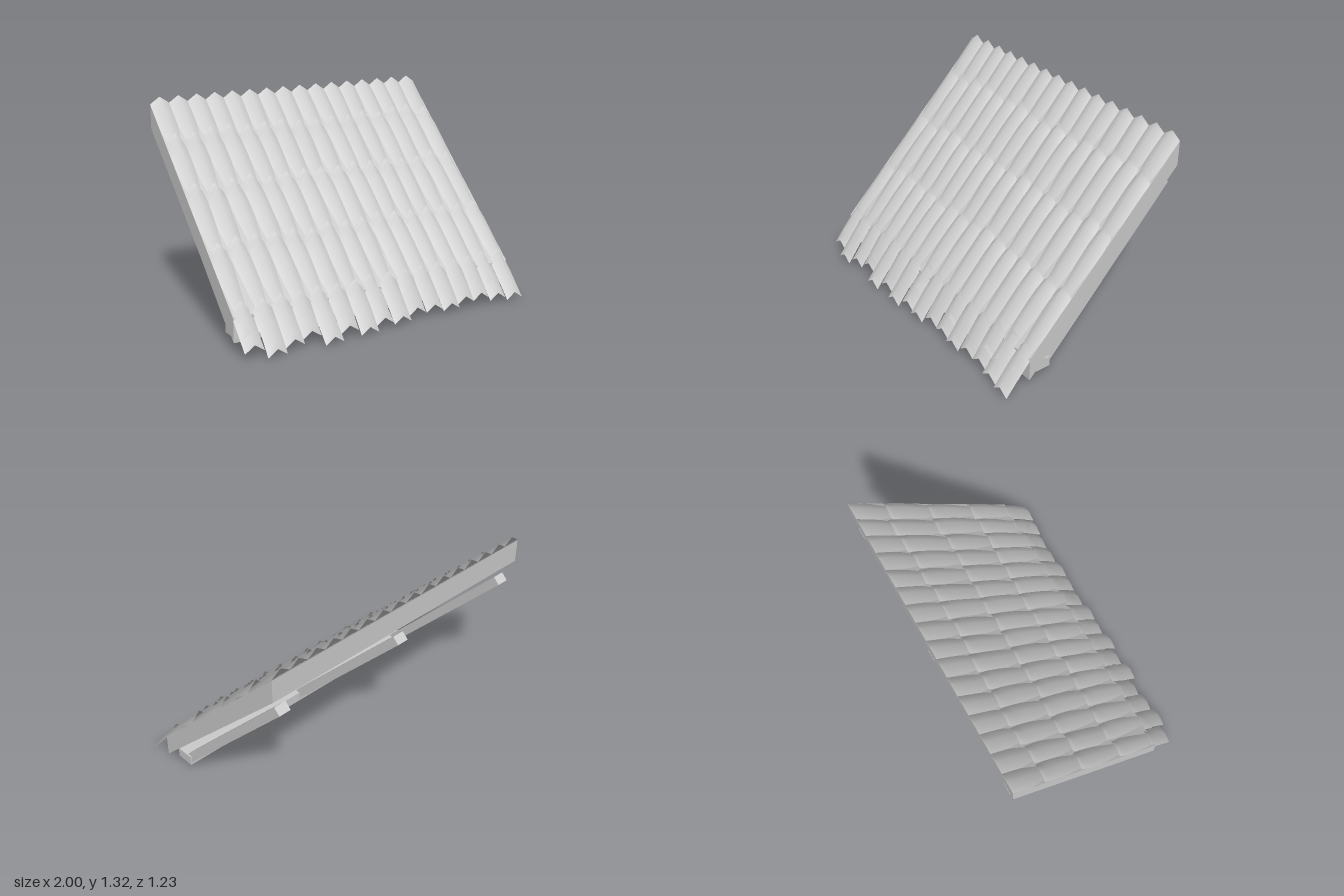
import * as THREE from 'three';
import { mergeGeometries } from 'three/addons/utils/BufferGeometryUtils.js';

const ROOF_Y = 0.66;                       // height of the deck top at z = 0, pitch 45 degrees
const roofY = (z) => ROOF_Y - z;

let seed = 7;
function rand() {
  seed = (seed * 16807) % 2147483647;
  return seed / 2147483647;
}
const jitter = (a) => (rand() * 2 - 1) * a;
const clampX = (x) => Math.max(-1, Math.min(1, x));

// Box sheared to follow the pitch; low and high are offsets from the deck top
function pitchedBlock(x0, x1, z0, z1, low, high) {
  const geo = new THREE.BoxGeometry(x1 - x0, high - low, z1 - z0);
  geo.translate((x0 + x1) / 2, (low + high) / 2, (z0 + z1) / 2);
  const p = geo.attributes.position;
  for (let i = 0; i < p.count; i++) p.setY(i, p.getY(i) + roofY(p.getZ(i)));
  geo.computeVertexNormals();
  return geo;
}

// Folded tile: sharper fold at the upper end, swaying a little along its length
function tile(cx, z0, z1, heightAt, sway, pinch) {
  const along = 8, half = 0.0625, rise = 0.042;
  const drift = jitter(sway), bow = jitter(sway);
  const pos = [], index = [];
  for (let i = 0; i <= along; i++) {
    const t = Math.pow(i / along, 1.3);
    const z = z0 + (z1 - z0) * t;
    const x = cx + drift * t + bow * Math.sin(Math.PI * t);
    const y = heightAt(z, t);
    const sharp = pinch * Math.max(0, 1 - (z - z0) / 0.07);
    for (const u of [-1, 0, 1]) {
      pos.push(clampX(x + u * half), u ? y - rise - sharp : y + sharp, z);
    }
    if (i) {
      for (const b of [3 * i - 3, 3 * i - 2]) index.push(b, b + 3, b + 1, b + 1, b + 3, b + 4);
    }
  }
  const geo = new THREE.BufferGeometry();
  geo.setAttribute('position', new THREE.Float32BufferAttribute(pos, 3));
  geo.setIndex(index);
  geo.computeVertexNormals();
  return geo;
}

export function createModel() {
  const group = new THREE.Group();
  const mat = new THREE.MeshStandardMaterial({ color: 0xcccccc });
  const tileMat = new THREE.MeshStandardMaterial({ color: 0xcccccc, side: THREE.DoubleSide });
  const add = (name, geo, material = mat) => {
    const mesh = new THREE.Mesh(geo, material);
    mesh.name = name;
    group.add(mesh);
    return mesh;
  };

  // Deck, set slightly into a frame of boards
  const back = -0.615, front = 0.44, side = 0.07, depth = -0.148;
  const deckBack = back + 0.055, deckFront = front - 0.1;
  add('deck', pitchedBlock(-1 + side, 1 - side, deckBack, deckFront, depth + 0.008, 0));
  add('backBoard', pitchedBlock(-1, 1, back, deckBack, depth, 0));
  add('frontBoard', pitchedBlock(-1, 1, deckFront, front, depth, 0));
  add('leftBoard', pitchedBlock(1 - side, 1, deckBack, deckFront, depth, 0));
  add('rightBoard', pitchedBlock(-1, -1 + side, deckBack, deckFront, depth, 0));

  // Eaves beam and the three rafters resting on it
  add('eavesBeam', new THREE.BoxGeometry(1.92, 0.065, 0.12)).position.set(0, 0.1025, 0.32);
  for (const x of [-0.91, 0, 0.91]) {
    const rafter = add('rafter', new THREE.BoxGeometry(0.08, 0.057, 1.256));
    rafter.position.set(x, 0.565, -0.1525);
    rafter.rotation.x = Math.atan2(0.91, 0.865);
  }

  // Courses of tiles; each starts proud of the deck and sinks under the next
  const starts = [back, -0.42, -0.145, 0.135, 0.42];
  const ends = [-0.33, -0.05, 0.235, 0.515];
  const eavesEnds = [0.57, 0.61, 0.585, 0.565, 0.615, 0.58, 0.61, 0.583,
    0.595, 0.57, 0.575, 0.587, 0.57, 0.57, 0.59, 0.605];
  starts.forEach((start, row) => {
    const parts = [];
    const top = row === 0, eaves = row === 4;
    eavesEnds.forEach((eavesEnd, c) => {
      const cx = -1 + (c + 0.5) * 2 / eavesEnds.length;
      const z0 = start + (top ? 0 : jitter(0.015));
      const z1 = eaves ? eavesEnd : ends[row] + jitter(0.015);
      const lift = 0.048 + (top ? 0 : jitter(0.004));
      const lip = 0.09 - 0.9 * (eavesEnd - 0.57);
      const height = eaves
        ? (z, t) => 0.29 + (lip - 0.29) * t
        : (z, t) => roofY(z) + lift - 0.032 * Math.pow(t, 2);
      parts.push(tile(cx, z0, z1, height, eaves ? 0.003 : 0.007, top ? 0 : 0.012));
    });
    add('tileCourse' + (row + 1), mergeGeometries(parts), tileMat);
  });

  return group;
}
